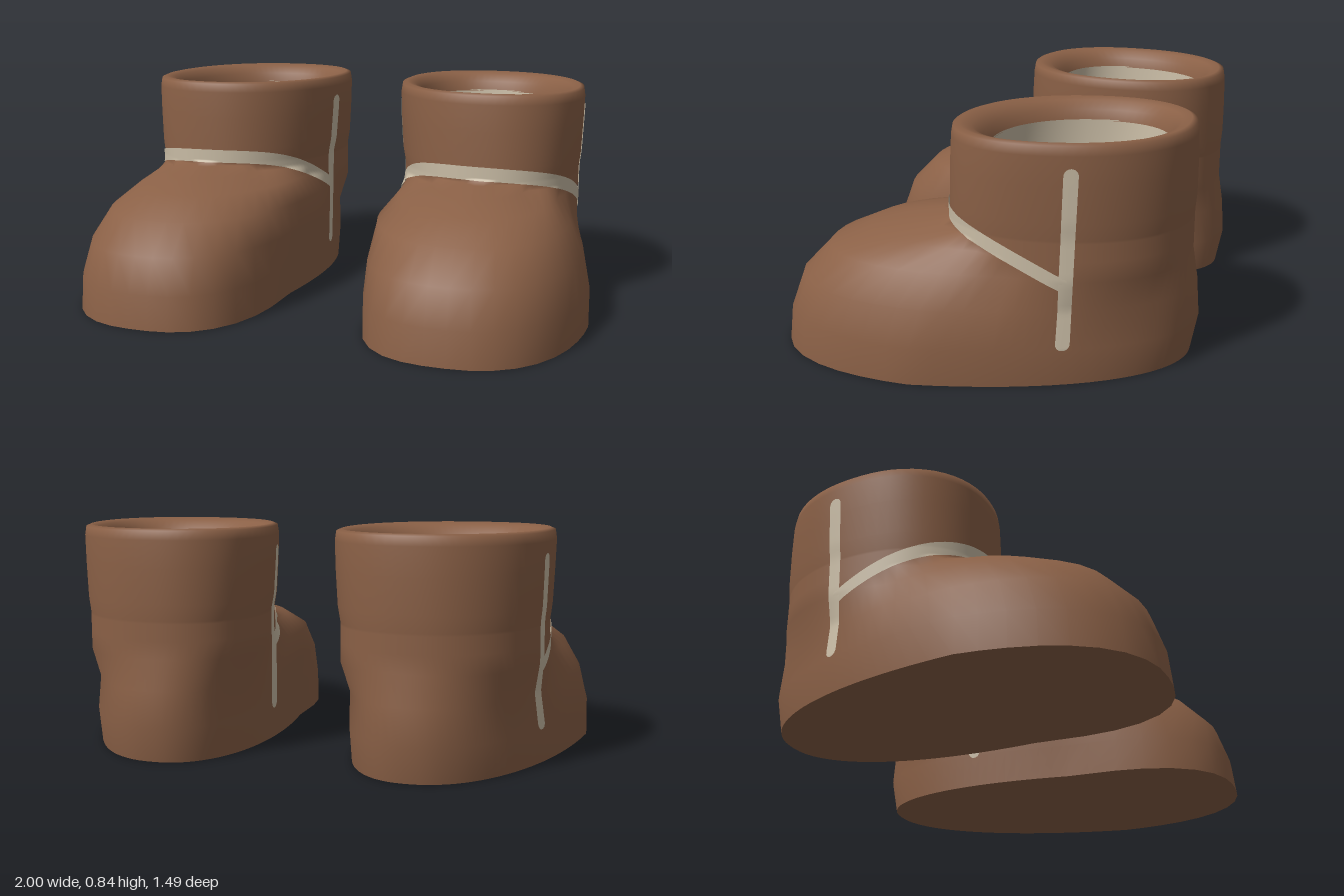
import * as THREE from 'three';

const SEG = 72;
// Ankle axis and radii; every section is measured outward from this axis
const AX = 0.52, AZ = -0.3, RX = 0.365, RZ = 0.42;

// Cross-sections: [y, inner x, outer x, front z, back z, widest z, front squareness]
const FOOT = [
  [0, 0.2, 1.0, 0.745, -0.72, 0.17, 2.5],
  [0.13, 0.195, 0.998, 0.73, -0.745, 0.15, 2.5],
  [0.26, 0.185, 0.965, 0.685, -0.735, 0.12, 2.4],
  [0.37, 0.175, 0.905, 0.58, -0.715, 0.05, 2.3],
  [0.44, 0.22, 0.84, 0.43, -0.68, -0.05, 2.2],
  [0.48, 0.33, 0.75, 0.3, -0.65, -0.12, 2],
  [0.503, 0.43, 0.66, 0.17, -0.6, -0.2, 2],
  [0.512, 0.46, 0.6, 0.09, -0.55, -0.25, 2],
];
const ANKLE = [0.37, 0.167, 0.879, 0.123, -0.715];
const SHAFT = [
  [0.57, 0.155, 0.885, 0.123, -0.72],
  [0.7, 0.146, 0.89, 0.118, -0.72],
  [0.8, 0.142, 0.893, 0.112, -0.717],
  [0.833, 0.147, 0.888, 0.106, -0.711],
  [0.84, 0.165, 0.872, 0.085, -0.692],
  [0.83, 0.195, 0.845, 0.04, -0.66],
  [0.8, 0.22, 0.82, 0.0, -0.632],
  [0.76, 0.23, 0.81, -0.02, -0.62],
];

// Squared oval, turned slightly outward: heel and toe swing toward their own lines
function ring([y, xi, xo, zf, zb, zc = AZ, n = 2.2]) {
  const cx = (xi + xo) / 2, hw = (xo - xi) / 2, pts = [];
  for (let j = 0; j < SEG; j++) {
    const a = (j / SEG) * Math.PI * 2, s = Math.sin(a), c = Math.cos(a);
    const e = 2 / (c > 0 ? n : 2.2), w = Math.abs(c) ** e;
    const z = zc + (c > 0 ? zf - zc : zb - zc) * w;
    const swing = ((c > 0 ? 0.57 : 0.47) - cx) * w;
    pts.push(new THREE.Vector3(cx + hw * Math.sign(s) * Math.abs(s) ** e + swing, y, z));
  }
  return pts;
}

// Distance, in ankle radii, from the axis to a loop at angle a (0 = front)
function reach(loop, a) {
  const dx = RX * Math.sin(a), dz = RZ * Math.cos(a);
  let best = 0;
  loop.forEach((p, j) => {
    const q = loop[(j + 1) % SEG];
    const ex = q.x - p.x, ez = q.z - p.z, px = p.x - AX, pz = p.z - AZ;
    const det = dz * ex - dx * ez;
    if (Math.abs(det) < 1e-9) return;
    const t = (pz * ex - px * ez) / det, u = (dx * pz - dz * px) / det;
    if (u >= -1e-6 && u <= 1 + 1e-6) best = Math.max(best, t);
  });
  return best;
}

const polar = (t, a, y) =>
  new THREE.Vector3(AX + t * RX * Math.sin(a), y, AZ + t * RZ * Math.cos(a));

// Body rows: the foot swells out of the ankle, then the shaft and rolled rim follow
const ankleLoop = ring(ANKLE);
const bodyRows = [
  ...FOOT.map((row) => ({
    y: row[0],
    loops: row[0] < ANKLE[0] ? [ring(row)] : [ring(row), ankleLoop],
  })),
  ...SHAFT.map((row) => ({ y: row[0], loops: [ring(row)] })),
];
const radius = (row, a) => Math.max(...row.loops.map((loop) => reach(loop, a)));

// Point lying just over the body
function skin(a, y) {
  const i = bodyRows.findIndex((row) => row.y > y);
  const lo = bodyRows[i - 1], hi = bodyRows[i];
  const t = THREE.MathUtils.lerp(radius(lo, a), radius(hi, a), (y - lo.y) / (hi.y - lo.y));
  return polar(t + 0.012, a, y + 0.004);
}

// Surface through rows of points
function loft(rows, closed = true) {
  const n = rows[0].length, idx = [];
  for (let i = 0; i < rows.length - 1; i++)
    for (let j = 0; j < (closed ? n : n - 1); j++) {
      const k = (j + 1) % n, a = i * n + j, b = i * n + k;
      idx.push(a, b, b + n, a, b + n, a + n);
    }
  const g = new THREE.BufferGeometry().setFromPoints(rows.flat());
  g.setIndex(idx);
  g.computeVertexNormals();
  return g;
}

// Deep rounded pocket inside the opening
function liningGeometry() {
  const rows = [];
  for (let i = 0; i <= 14; i++) {
    const f = Math.sin((i / 14) * Math.PI / 2), s = (1 - f ** 2.5) ** 0.4;
    const x = 0.29 * s, z = 0.3 * s, zc = -0.32 + 0.06 * f;
    rows.push(ring([0.765 - 0.66 * f, 0.52 - x, 0.52 + x, zc + z, zc - z, zc]));
  }
  return loft(rows);
}

// Band over the instep, falling to each side
function strapGeometry() {
  const rows = [], from = -1.52, to = 1.7;
  for (let r = 0; r <= 10; r++) {
    const row = [];
    for (let k = 0; k <= 80; k++) {
      const a = from + ((to - from) * k) / 80, b = a < 0 ? a * 1.07 : a;
      const y = 0.376 + (0.161 + 0.06 * Math.sin(b) ** 2) * Math.cos(b);
      row.push(skin(a, y + (r / 10 - 0.5) * 0.052));
    }
    rows.push(row);
  }
  return loft(rows, false);
}

// Upright side stripe with rounded ends, running from z0 at the foot to z1 at the top
function stripeGeometry(side, z0, z1, lo) {
  const rows = [], hi = 0.757, w = 0.024;
  for (let r = 0; r <= 48; r++) {
    const f = (1 - Math.cos((r / 48) * Math.PI)) / 2, y = lo + (hi - lo) * f;
    const d = Math.max(0, w - Math.min(y - lo, hi - y));
    const half = Math.sqrt(Math.max(0, w * w - d * d));
    const row = [];
    for (let k = -2; k <= 2; k++) {
      const z = z0 + (z1 - z0) * f - side * half * k / 2;
      row.push(skin(side * Math.acos((z - AZ) / RZ), y));
    }
    rows.push(row);
  }
  return loft(rows, false);
}

function mirrored(g) {
  const m = g.clone().scale(-1, 1, 1), ix = m.index.array;
  for (let i = 0; i < ix.length; i += 3) [ix[i], ix[i + 1]] = [ix[i + 1], ix[i]];
  m.computeVertexNormals();
  return m;
}

export function createModel() {
  const brown = new THREE.MeshStandardMaterial({ color: 0x8a6046 });
  brown.name = 'brown leather';
  const cream = new THREE.MeshStandardMaterial({ color: 0xcabda6, side: THREE.DoubleSide });
  cream.name = 'cream trim';

  const body = bodyRows.map((row) => Array.from({ length: SEG }, (_, j) => {
    const a = (j / SEG) * Math.PI * 2;
    return polar(radius(row, a), a, row.y);
  }));
  const soleCentre = body[0].map(() => new THREE.Vector3(0.56, 0, 0));
  const parts = [
    ['sole', loft([soleCentre, body[0]]), brown],
    ['footShaftAndRim', loft(body), brown],
    ['lining', liningGeometry(), cream],
    ['instepStrap', strapGeometry(), cream],
    ['outerStripe', stripeGeometry(1, -0.342, -0.367, 0.125), cream],
    ['innerStripe', stripeGeometry(-1, -0.25, -0.27, 0.115), cream],
  ];

  const model = new THREE.Group();
  model.name = 'pairOfBoots';
  for (const name of ['leftBoot', 'rightBoot']) {
    const boot = new THREE.Group();
    boot.name = name;
    for (const [part, geo, mat] of parts) {
      const mesh = new THREE.Mesh(name === 'leftBoot' ? geo : mirrored(geo), mat);
      mesh.name = part;
      boot.add(mesh);
    }
    model.add(boot);
  }
  return model;
}
